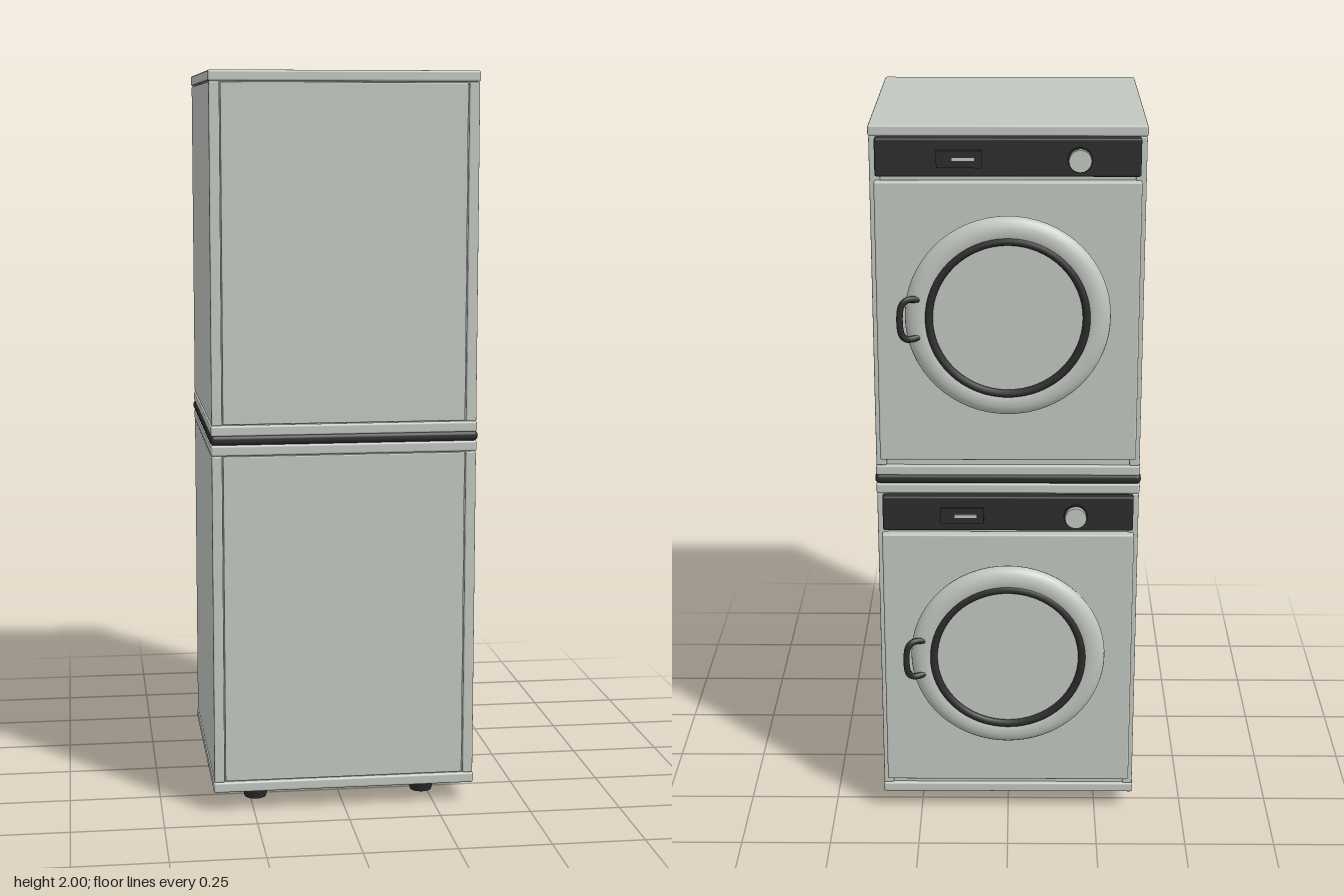
import * as THREE from 'three';
import { RoundedBoxGeometry } from 'three/addons/geometries/RoundedBoxGeometry.js';

const enamel = new THREE.MeshStandardMaterial({ name: 'pale grey enamel', color: 0xc2c7c0 });
const black = new THREE.MeshStandardMaterial({ name: 'black plastic', color: 0x2b2c2b });

function add(parent, name, geometry, material, x = 0, y = 0, z = 0) {
  const mesh = new THREE.Mesh(geometry, material);
  mesh.name = name;
  mesh.position.set(x, y, z);
  parent.add(mesh);
  return mesh;
}

const rounded = (w, h, d, r) => new RoundedBoxGeometry(w, h, d, 3, r);
const BODY_Z = 0.045; // middle of the cabinet, which spans z -0.31 to 0.40

// Door on the -z side: squashed ring, dark seal, window and grab handle
function createDoor() {
  const door = new THREE.Group();
  door.name = 'door';
  const ring = add(door, 'doorRing', new THREE.TorusGeometry(0.232, 0.038, 20, 64), enamel, 0, 0, -0.354);
  ring.scale.z = 0.67;
  add(door, 'doorSeal', new THREE.TorusGeometry(0.207, 0.011, 10, 64), black, 0, 0, -0.371);
  const window = add(door, 'doorWindow', new THREE.CylinderGeometry(0.207, 0.207, 0.04, 64), enamel, 0, 0, -0.349);
  window.rotation.x = Math.PI / 2;

  const path = new THREE.CatmullRomCurve3([
    [0.225, 0.05, -0.368], [0.262, 0.053, -0.386], [0.277, 0.038, -0.392],
    [0.277, -0.038, -0.392], [0.262, -0.053, -0.386], [0.225, -0.05, -0.368],
  ].map((p) => new THREE.Vector3(...p)), false, 'centripetal');
  add(door, 'doorHandle', new THREE.TubeGeometry(path, 40, 0.009, 8), black);
  return door;
}

// Control strip with a dial and a small display
function createControls() {
  const controls = new THREE.Group();
  controls.name = 'controls';
  add(controls, 'controlPanel', rounded(0.685, 0.1, 0.03, 0.006), black, 0, 0, -0.32);
  const collar = add(controls, 'dialCollar', new THREE.CylinderGeometry(0.033, 0.033, 0.008, 32), black, -0.185, -0.005, -0.337);
  const dial = add(controls, 'dial', new THREE.CylinderGeometry(0.029, 0.029, 0.025, 32), enamel, -0.185, -0.005, -0.343);
  collar.rotation.x = dial.rotation.x = Math.PI / 2;
  add(controls, 'displayFrame', new THREE.BoxGeometry(0.118, 0.045, 0.009), black, 0.125, -0.003, -0.338);
  add(controls, 'displayBar', new THREE.BoxGeometry(0.06, 0.009, 0.004), enamel, 0.115, -0.003, -0.344);
  return controls;
}

// One machine, measured from the underside of its base slab
function createMachine(name) {
  const machine = new THREE.Group();
  machine.name = name;
  add(machine, 'baseSlab', rounded(0.72, 0.029, 0.71, 0.006), enamel, 0, 0.0145, BODY_Z);
  add(machine, 'topSlab', rounded(0.72, 0.029, 0.71, 0.006), enamel, 0, 0.946, BODY_Z);
  add(machine, 'cabinet', new THREE.BoxGeometry(0.7, 0.91, 0.69), enamel, 0, 0.48, BODY_Z);
  for (const side of [-1, 1]) {
    add(machine, 'sidePanel', rounded(0.028, 0.902, 0.706, 0.004), enamel, side * 0.344, 0.48, BODY_Z);
  }
  add(machine, 'backPanel', rounded(0.655, 0.898, 0.012, 0.003), enamel, 0, 0.48, 0.39);
  add(machine, 'frontPanel', rounded(0.692, 0.765, 0.03, 0.005), enamel, 0, 0.435, -0.315);

  const controls = createControls();
  controls.position.y = 0.882;
  const door = createDoor();
  door.position.y = 0.465;
  machine.add(controls, door);
  return machine;
}

export function createModel() {
  const model = new THREE.Group();
  model.name = 'stackedLaundryMachines';

  const lower = createMachine('lowerMachine');
  lower.position.y = 0.055;
  const upper = createMachine('upperMachine');
  upper.position.y = 1.0395;
  model.add(lower, upper);

  // Dark cushion between the machines
  add(model, 'stackingGasket', rounded(0.725, 0.028, 0.715, 0.012), black, 0, 1.029, BODY_Z);

  // Tapered feet
  for (const x of [-0.235, 0.235]) {
    for (const z of [-0.175, 0.27]) {
      add(model, 'foot', new THREE.CylinderGeometry(0.045, 0.03, 0.056, 20), black, x, 0.028, z);
    }
  }
  return model;
}
